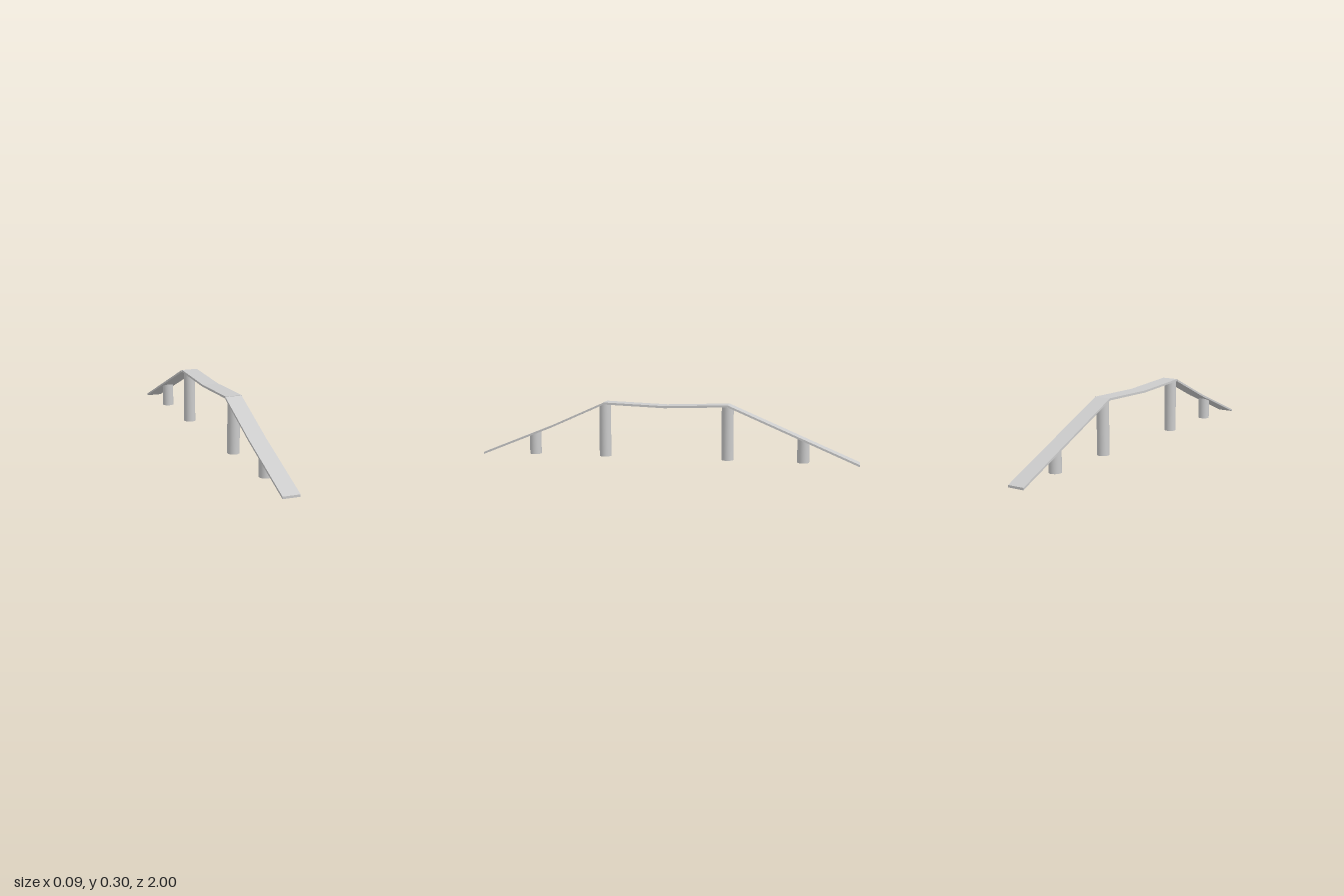
import * as THREE from 'three';

const THICK = 0.011;
const WIDTH = 0.086;
// top edge of each deck section as [z, y]
const sections = {
  frontRamp: { x: -0.001, pts: [[1, 0.012], [0.62, 0.165], [0.328, 0.296]] },
  middleSpan: { x: 0.001, pts: [[0.328, 0.298], [0, 0.286], [-0.328, 0.298]] },
  rearRamp: { x: -0.001, pts: [[-0.328, 0.298], [-1, 0.012]] },
};

// height of the deck top at a given z
function deckHeight(z) {
  for (const { pts } of Object.values(sections)) {
    for (let i = 0; i < pts.length - 1; i++) {
      const [z0, y0] = pts[i], [z1, y1] = pts[i + 1];
      if (z <= z0 && z >= z1) return y0 + (y1 - y0) * (z0 - z) / (z0 - z1);
    }
  }
  return 0;
}

export function createModel() {
  const model = new THREE.Group();
  const grey = new THREE.MeshStandardMaterial({ color: 0xcccccc });
  const add = (name, geometry) => {
    const mesh = new THREE.Mesh(geometry, grey);
    mesh.name = name;
    model.add(mesh);
    return mesh;
  };

  // deck sections: thin side profiles extruded across the width
  for (const [name, { x, pts }] of Object.entries(sections)) {
    const under = pts.map(([z, y]) => [z, y - THICK]).reverse();
    const shape = new THREE.Shape([...pts, ...under].map(([z, y]) => new THREE.Vector2(z, y)));
    const geo = new THREE.ExtrudeGeometry(shape, { depth: WIDTH, bevelEnabled: false });
    geo.rotateY(-Math.PI / 2).translate(x + WIDTH / 2, 0, 0);
    add(name, geo);
  }

  // round pillars, tops cut to follow the deck
  const pillars = { frontShortPillar: 0.717, frontTallPillar: 0.328, rearTallPillar: -0.325, rearShortPillar: -0.715 };
  for (const [name, z] of Object.entries(pillars)) {
    const geo = new THREE.CylinderGeometry(0.031, 0.031, 1, 32);
    const p = geo.attributes.position;
    for (let i = 0; i < p.count; i++) {
      p.setY(i, p.getY(i) > 0 ? deckHeight(z + p.getZ(i)) - THICK * 0.6 : 0.008);
    }
    add(name, geo).position.z = z;
  }

  return model;
}
